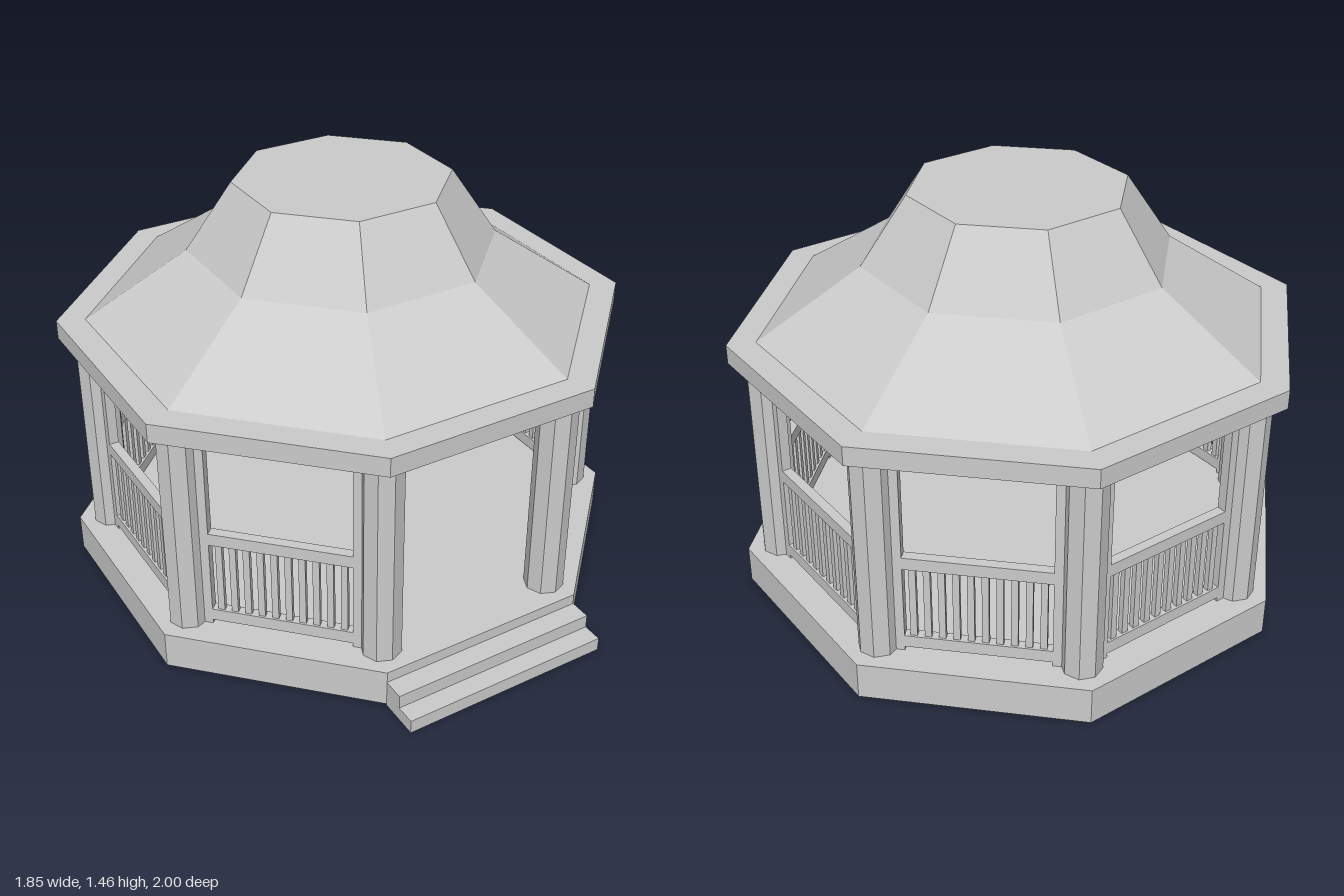
import * as THREE from 'three';

const SIDES = 8;
const CZ = -0.073;                       // centre of the octagon in z
const K = 1 / Math.cos(Math.PI / SIDES); // flat distance -> corner radius

const solid = new THREE.MeshStandardMaterial({ color: 0xcccccc, flatShading: true });
const shell = new THREE.MeshStandardMaterial({ color: 0xcccccc, flatShading: true, side: THREE.DoubleSide });

function add(parent, name, geometry, x = 0, y = 0, z = 0, material = solid) {
  const mesh = new THREE.Mesh(geometry, material);
  mesh.name = name;
  mesh.position.set(x, y, z);
  parent.add(mesh);
  return mesh;
}

function box(parent, name, w, h, d, x, y, z) {
  return add(parent, name, new THREE.BoxGeometry(w, h, d), x, y, z);
}

// Octagonal shell from [flat distance, height] pairs, bottom to top
function octagonShell(parent, name, profile) {
  const points = profile.map(([a, y]) => new THREE.Vector2(a * K, y));
  return add(parent, name, new THREE.LatheGeometry(points, SIDES, Math.PI / SIDES), 0, 0, 0, shell);
}

export function createModel() {
  const model = new THREE.Group();
  model.name = 'gazebo';
  const body = new THREE.Group();
  body.name = 'pavilion';
  body.position.z = CZ;
  model.add(body);

  // Hollow base with floor, and hollow roof with fascia
  octagonShell(body, 'floor', [[0.927, 0.005], [0.927, 0.14], [0, 0.14]]);
  octagonShell(body, 'roof', [[0.927, 0.912], [0.927, 0.98], [0.835, 0.98], [0.5, 1.22], [0.35, 1.46], [0, 1.46]]);

  // Columns on the corners, running slightly through the floor
  const columnR = 0.88, low = 0.08, high = 0.97;
  const columnH = high - low, midY = (high + low) / 2;
  for (let i = 0; i < SIDES; i++) {
    const a = (i + 0.5) * Math.PI * 2 / SIDES;
    add(body, 'column', new THREE.CylinderGeometry(0.07, 0.07, columnH, 8),
      Math.sin(a) * columnR, midY, Math.cos(a) * columnR);
  }

  // Railing panels on every side but the front entrance
  const halfSpan = columnR * Math.sin(Math.PI / SIDES);
  const railZ = columnR / K;
  const railW = 2 * (halfSpan - 0.07);
  const balusters = 10, pitch = 0.0475;
  for (let i = 1; i < SIDES; i++) {
    const panel = new THREE.Group();
    panel.name = 'railing';
    panel.rotation.y = i * Math.PI * 2 / SIDES;
    body.add(panel);
    for (const s of [-1, 1])
      box(panel, 'railingPost', 0.035, columnH, 0.035, s * (halfSpan - 0.075), midY, railZ);
    box(panel, 'topRail', railW, 0.045, 0.035, 0, 0.4925, railZ);
    box(panel, 'bottomRail', railW, 0.045, 0.035, 0, 0.1775, railZ);
    for (let j = 0; j < balusters; j++)
      box(panel, 'baluster', 0.023, 0.28, 0.02, (j - (balusters - 1) / 2) * pitch, 0.335, railZ);
  }

  // Two entrance steps
  const baseFront = 0.927 + CZ;
  box(model, 'lowerStep', 0.77, 0.05, 1 - baseFront, 0, 0.025, (1 + baseFront) / 2);
  box(model, 'upperStep', 0.77, 0.05, 0.93 - baseFront, 0, 0.075, (0.93 + baseFront) / 2);

  return model;
}
